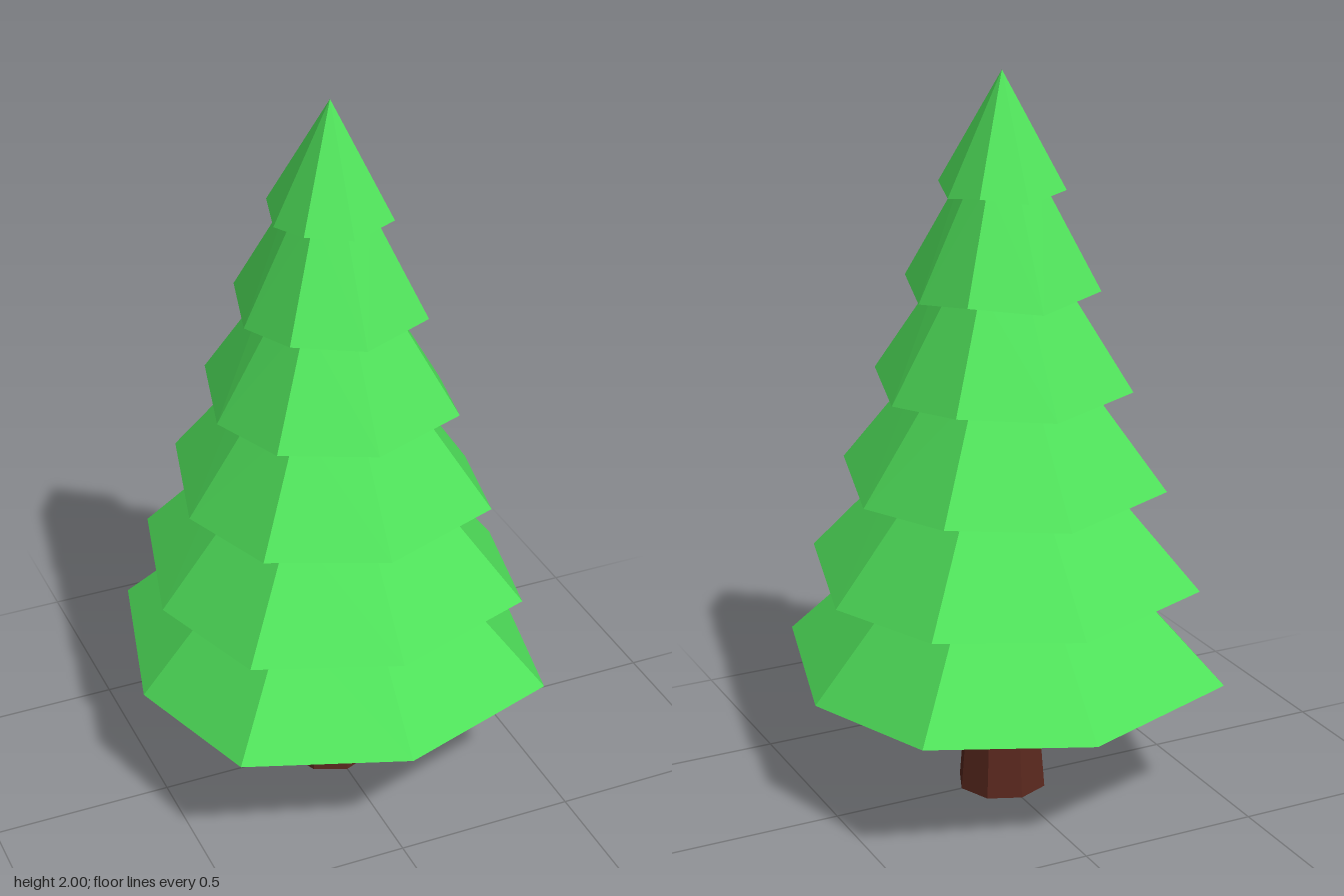
import * as THREE from 'three';

// Foliage profile from apex to base: [reach along x/z axes, height, corner lift]
const PROFILE = [
  [0, 2, 0],
  [0.155, 1.68, 0.02], [0.095, 1.71, 0.015],
  [0.24, 1.41, 0.03], [0.15, 1.44, 0.02],
  [0.32, 1.145, 0.03], [0.2, 1.18, 0.02],
  [0.405, 0.875, 0.035], [0.25, 0.91, 0.02],
  [0.49, 0.605, 0.035], [0.3, 0.64, 0.02],
  [0.555, 0.34, 0.038], [0.33, 0.385, 0.02],
  [0.15, 0.325, 0], [0, 0.325, 0],
];
const SIDES = 8;

// Eight-point ring: odd points are the diagonal corners, raised a little
function ringPoint([reach, height, lift], i) {
  const corner = i % 2 === 1;
  const a = (i * Math.PI) / 4;
  const r = corner ? reach * 0.8 * Math.SQRT2 : reach;
  return [Math.sin(a) * r, height + (corner ? lift : 0), Math.cos(a) * r];
}

function foliageGeometry() {
  const pos = [];
  for (let k = 0; k < PROFILE.length - 1; k++) {
    for (let i = 0; i < SIDES; i++) {
      const a = ringPoint(PROFILE[k], i), b = ringPoint(PROFILE[k], i + 1);
      const c = ringPoint(PROFILE[k + 1], i), d = ringPoint(PROFILE[k + 1], i + 1);
      const nextIsTip = PROFILE[k + 1][0] === 0;
      // Split each quad along the line from its axis point to its corner point
      if (k === 0) pos.push(...a, ...c, ...d);
      else if (nextIsTip) pos.push(...a, ...c, ...b);
      else if (i % 2) pos.push(...a, ...c, ...d, ...a, ...d, ...b);
      else pos.push(...a, ...c, ...b, ...b, ...c, ...d);
    }
  }
  const geo = new THREE.BufferGeometry();
  geo.setAttribute('position', new THREE.Float32BufferAttribute(pos, 3));
  geo.computeVertexNormals();
  return geo;
}

// Waisted octagonal trunk, closed at the foot
function trunkGeometry() {
  const profile = [[0, 0], [0.125, 0], [0.11, 0.18], [0.122, 0.36]];
  return new THREE.LatheGeometry(profile.map(([r, y]) => new THREE.Vector2(r, y)), SIDES);
}

export function createModel() {
  const tree = new THREE.Group();
  tree.name = 'pineTree';
  const add = (name, geometry, color) => {
    const mesh = new THREE.Mesh(geometry, new THREE.MeshStandardMaterial({ color, flatShading: true }));
    mesh.name = name;
    tree.add(mesh);
  };
  add('foliage', foliageGeometry(), 0x4fe05a);
  add('trunk', trunkGeometry(), 0x5a281e);
  return tree;
}
